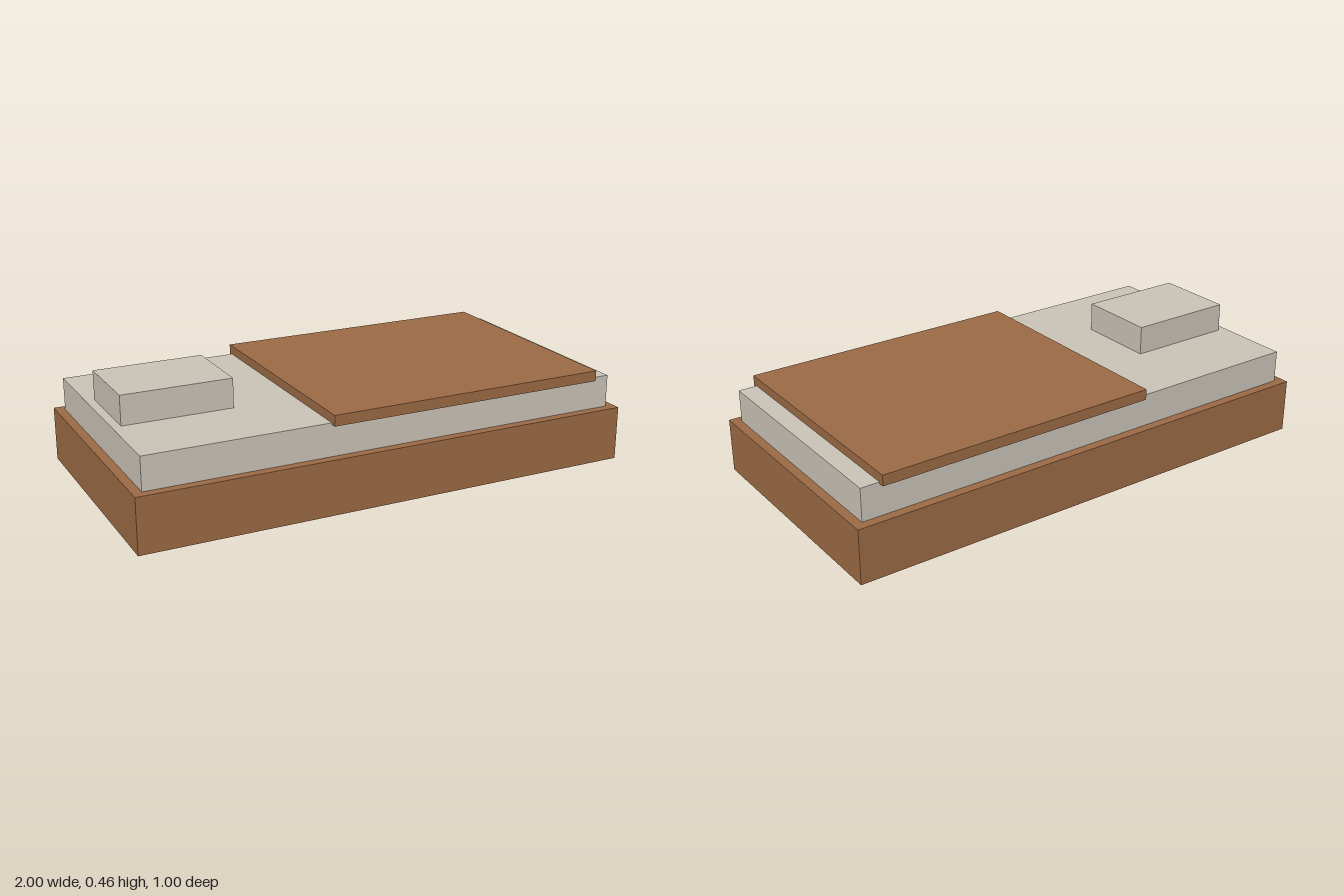
import * as THREE from 'three';

const wood = new THREE.MeshStandardMaterial({ color: 0x9b6a45 });
wood.name = 'warm brown';
const linen = new THREE.MeshStandardMaterial({ color: 0xcac3b7 });
linen.name = 'pale linen';

// Box given by its extents along each axis
function block(name, material, [x0, x1], [y0, y1], [z0, z1]) {
  const mesh = new THREE.Mesh(new THREE.BoxGeometry(x1 - x0, y1 - y0, z1 - z0), material);
  mesh.name = name;
  mesh.position.set((x0 + x1) / 2, (y0 + y1) / 2, (z0 + z1) / 2);
  return mesh;
}

export function createModel() {
  const bed = new THREE.Group();
  bed.name = 'bed';
  bed.add(
    block('bedBase', wood, [-1, 1], [0, 0.215], [-0.5, 0.5]),
    block('mattress', linen, [-0.964, 0.964], [0.215, 0.344], [-0.464, 0.464]),
    // Blanket overhangs the mattress sides and sinks slightly into its top
    block('blanket', wood, [-0.25, 0.89], [0.337, 0.379], [-0.486, 0.486]),
    block('pillow', linen, [-0.93, -0.5], [0.344, 0.459], [-0.159, 0.159]),
  );
  return bed;
}
